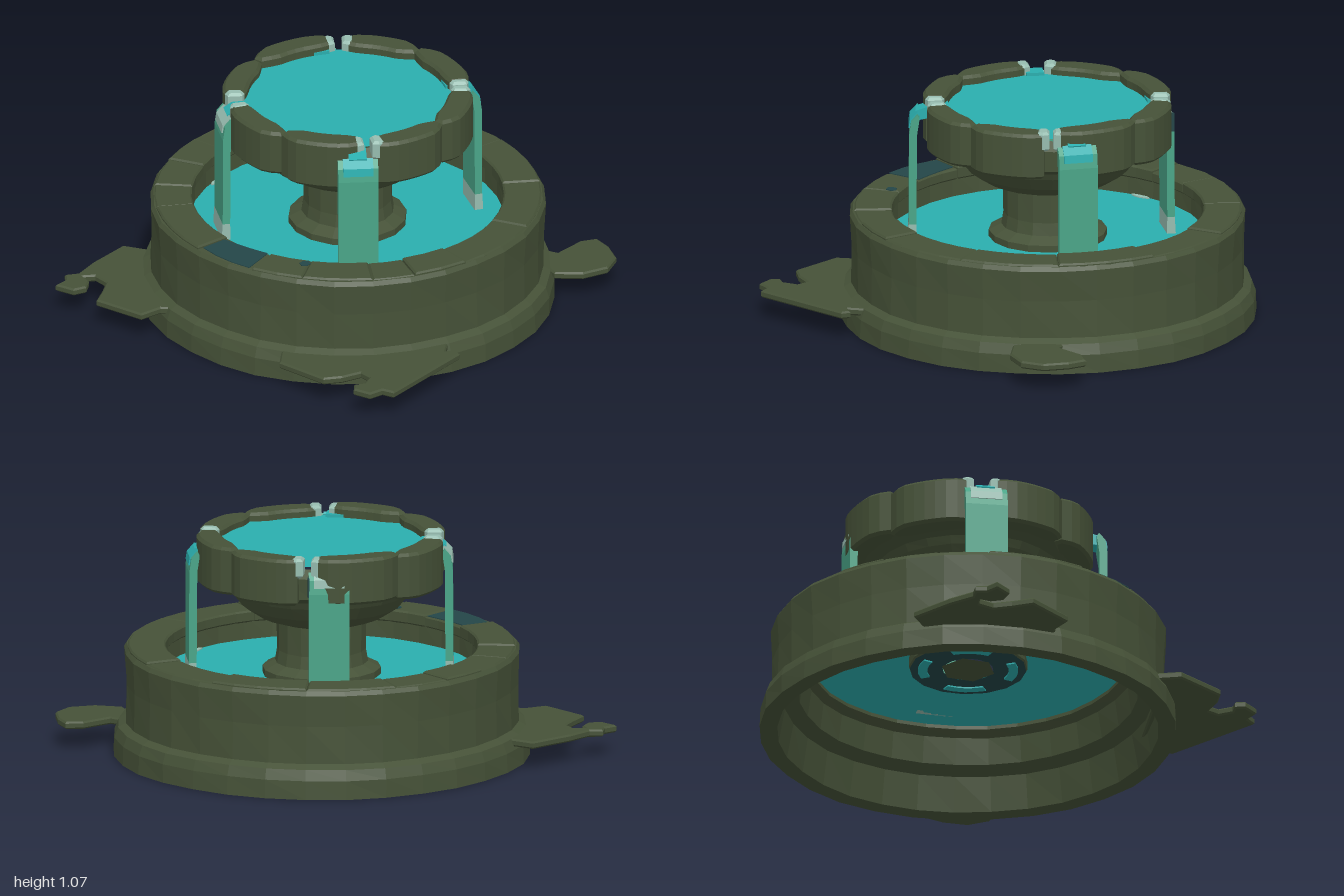
import * as THREE from 'three';

const mat = (name, color, side = THREE.FrontSide) =>
  new THREE.MeshStandardMaterial({ name, color, side, flatShading: true });
const rad = THREE.MathUtils.degToRad;

export function createModel() {
  const stone = mat('mossy stone', 0x465238);
  const water = mat('water', 0x2aaeae, THREE.DoubleSide);
  const fallWater = mat('falling water', 0x4aa588);
  const foam = mat('foam', 0x97bdb0);
  const wet = mat('wet stone', 0x244648);

  const model = new THREE.Group();
  const fountain = new THREE.Group();
  fountain.name = 'fountain';
  fountain.position.x = 0.02;
  model.add(fountain);

  const add = (name, geo, material, parent = fountain) => {
    const mesh = new THREE.Mesh(geo, material);
    mesh.name = name;
    parent.add(mesh);
    return mesh;
  };

  // Lathe with a slight hand-cut wobble
  const roughLathe = (points, segments, wobble) => {
    const geo = new THREE.LatheGeometry(points.map(p => new THREE.Vector2(...p)), segments);
    const pos = geo.attributes.position;
    for (let i = 0; i < pos.count; i++) {
      const x = pos.getX(i), z = pos.getZ(i), y = pos.getY(i);
      const a = Math.atan2(z, x);
      const k = 1 + wobble * (Math.sin(5 * a + y * 4) + 0.6 * Math.sin(11 * a + y * 9));
      pos.setX(i, x * k);
      pos.setZ(i, z * k);
    }
    geo.computeVertexNormals();
    return geo;
  };

  // Flat outline in x and z, raised from y by height
  const slab = (points, y, height, bevel = 0) => {
    const shape = new THREE.Shape(points.map(([x, z]) => new THREE.Vector2(x, -z)));
    const geo = new THREE.ExtrudeGeometry(shape, {
      depth: height - 2 * bevel, bevelEnabled: bevel > 0, bevelThickness: bevel,
      bevelSize: bevel, bevelOffset: -bevel, bevelSegments: 1,
    });
    return geo.rotateX(-Math.PI / 2).translate(0, y + bevel, 0);
  };

  // Outline of a curved block; half width is a function along its length
  const arc = (mid, half, a0, a1, steps) => {
    const side = sign => Array.from({ length: steps + 1 }, (_, i) => {
      const t = i / steps, a = rad(a0 + (a1 - a0) * t), r = mid + sign * half(t);
      return [r * Math.cos(a), r * Math.sin(a)];
    });
    return [...side(1), ...side(-1).reverse()];
  };

  // Flat ring or disc, facing up or down
  const flatRing = (r0, r1, y, segments, up) =>
    new THREE.RingGeometry(r0, r1, segments).rotateX(up ? -Math.PI / 2 : Math.PI / 2).translate(0, y, 0);

  // Basin: hollow wall with a stepped foot
  add('basinWall', roughLathe([
    [0.9, 0], [0.984, 0], [0.982, 0.09], [0.964, 0.14], [0.928, 0.16], [0.926, 0.34],
    [0.934, 0.49], [0.92, 0.51], [0.75, 0.5], [0.745, 0.36], [0.78, 0.33], [0.8, 0.2],
    [0.87, 0.17], [0.9, 0],
  ], 32, 0.004), stone);

  // Coping stones on the basin rim
  const joints = [-72, -45, -15, 15, 45, 75, 105, 122, 135, 156, 172, 193, 223, 238, 255, 270, 288];
  for (let i = 0; i < joints.length - 1; i++) {
    const a0 = joints[i] + 0.05, a1 = joints[i + 1] - 0.05;
    const steps = Math.max(2, Math.round((a1 - a0) / 8));
    const top = 0.519 + 0.005 * Math.sin(i * 2.4);
    add('copingStone', slab(arc(0.825, () => 0.089, a0, a1, steps), 0.46, top - 0.46, 0.008), stone);
    if (joints[i] === 172) {
      add('wetPatch', slab(arc(0.826, t => 0.086 - 0.02 * t * t, a0 + 1, a1 - 0.8, steps), top, 0.004), wet);
    }
    if (joints[i] === 156) {
      const spot = [0, 1, 2, 3, 4, 5].map(k => [-0.72 + 0.028 * Math.cos(k * 1.05), 0.3 + 0.026 * Math.sin(k * 1.05)]);
      add('wetSpot', slab(spot, top, 0.004), wet);
    }
  }

  // Lower pool surface with foam slivers along the shore
  add('lowerWater', flatRing(0.2, 0.775, 0.378, 32, true), water);
  for (const a of [228, 76, -24, 265]) {
    add('shoreFoam', slab(arc(0.73, t => 0.003 + 0.014 * Math.sin(Math.PI * t), a - 4, a + 4, 4), 0.379, 0.006), foam);
  }

  // Pedestal with a closed underside
  add('pedestal', roughLathe([
    [0.275, 0.325], [0.28, 0.335], [0.28, 0.41], [0.22, 0.44], [0.21, 0.5], [0.212, 0.64],
  ], 16, 0.005), stone);
  add('pedestalUnderside', flatRing(0.12, 0.276, 0.326, 16, false), wet);
  add('pedestalCore', flatRing(0, 0.13, 0.324, 6, false), stone);
  for (const a of [20, 110, 200, 290]) {
    add('underWater', slab(arc(0.215, () => 0.022, a, a + 50, 4), 0.318, 0.007), water);
  }

  // Upper bowl and its water
  add('upperBowl', roughLathe([
    [0, 0.62], [0.2, 0.635], [0.3, 0.668], [0.38, 0.72], [0.43, 0.785], [0.45, 0.82],
    [0.54, 0.86], [0.545, 0.96], [0.5, 1.0],
  ], 24, 0.006), stone);
  add('upperWater', new THREE.CircleGeometry(0.515, 24).rotateX(-Math.PI / 2).translate(0, 1.015, 0), water);

  // Rim stones in pairs, pinched where they meet, foam on their free ends
  const spans = [[-38, 0.5], [0.5, 43], [50, 89], [89, 128], [137, 176.5], [176.5, 216], [229, 270], [270, 313]];
  spans.forEach(([a0, a1], i) => {
    const pinch = t => {
      const meet = i % 2 ? t : 1 - t; // distance from the pinched end
      return Math.min(0.022 + 0.2 * meet, 0.062, 0.042 + 0.12 * (1 - meet));
    };
    const bottom = 0.837 + 0.008 * Math.sin(i * 3);
    const height = 1.06 + 0.007 * Math.sin(i * 1.9) - bottom;
    add('rimStone', slab(arc(0.533, pinch, a0, a1, 8), bottom, height, 0.014), stone);
    const end = i % 2 ? a1 - 3.5 : a0 - 2.5;
    add('endFoam', slab(arc(0.533, t => 0.046 - 0.012 * Math.abs(2 * t - 1), end, end + 6, 2), 0.97, 0.094, 0.012), foam);
  });

  // Four waterfalls: angle, width, outer radius, material of the crest
  const falls = [[35, 0.185, 0.625, water], [138, 0.19, 0.645, water], [221, 0.2, 0.61, foam], [-53, 0.19, 0.58, foam]];
  for (const [angle, width, r, crest] of falls) {
    const fall = new THREE.Group();
    fall.name = 'waterfall';
    fall.rotation.y = -rad(angle);
    fountain.add(fall);
    const sheet = (points, w) => new THREE.ExtrudeGeometry(
      new THREE.Shape(points.map(p => new THREE.Vector2(...p))),
      { depth: w, bevelEnabled: false }).translate(0, 0, -w / 2);
    add('lip', sheet([[0.47, 0.99], [r - 0.04, 0.96], [r - 0.02, 1.005], [0.55, 1.03], [0.47, 1.03]], 0.085), water, fall);
    add('fallingSheet', sheet([
      [r - 0.04, 0.98], [r - 0.028, 0.9], [r - 0.025, 0.46], [r + 0.011, 0.46],
      [r + 0.01, 0.9], [r, 0.965], [r - 0.03, 1.0],
    ], width), fallWater, fall);
    add('fallFoot', sheet([[r - 0.026, 0.378], [r + 0.016, 0.378], [r + 0.011, 0.46], [r - 0.025, 0.46]], width), foam, fall);
    add('crest', sheet([
      [r - 0.04, 0.995], [r - 0.003, 0.96], [r + 0.006, 0.93], [r + 0.012, 0.93], [r + 0.006, 0.968], [r - 0.03, 1.007],
    ], width * 0.75), crest, fall);
    if (angle === -53) {
      add('wetEdge', new THREE.BoxGeometry(0.035, 0.09, 0.008).translate(r - 0.01, 0.93, width / 2 + 0.002), wet, fall);
    }
  }

  // Broken paving around the foot
  const paving = [
    [[-0.47, -0.96], [-0.7, -0.965], [-0.83, -0.95], [-0.88, -0.99], [-0.92, -0.955], [-0.99, -0.96],
      [-0.98, -0.86], [-0.92, -0.83], [-0.86, -0.86], [-0.84, -0.91], [-0.8, -0.87], [-0.82, -0.79],
      [-0.9, -0.75], [-1, -0.71], [-0.99, -0.45], [-0.88, -0.42], [-0.8, -0.3], [-0.4, -0.75]],
    [[-0.88, 0.3], [-0.99, 0.37], [-1, 0.64], [-0.93, 0.7], [-0.84, 0.74], [-0.85, 0.8], [-0.92, 0.82],
      [-0.96, 0.79], [-1, 0.82], [-0.99, 0.91], [-0.92, 0.93], [-0.91, 0.99], [-0.4, 0.99],
      [-0.38, 0.95], [-0.42, 0.92], [-0.3, 0.85], [-0.65, 0.55]],
    [[0.6, 0.68], [0.54, 0.83], [0.62, 0.94], [0.74, 0.995], [0.85, 0.96], [0.92, 0.86], [0.95, 0.77],
      [0.88, 0.72], [0.72, 0.71], [0.7, 0.62]],
  ];
  paving.forEach(p => add('brokenPaving', slab(p, 0.105, 0.036, 0.008), stone, model));

  return model;
}
